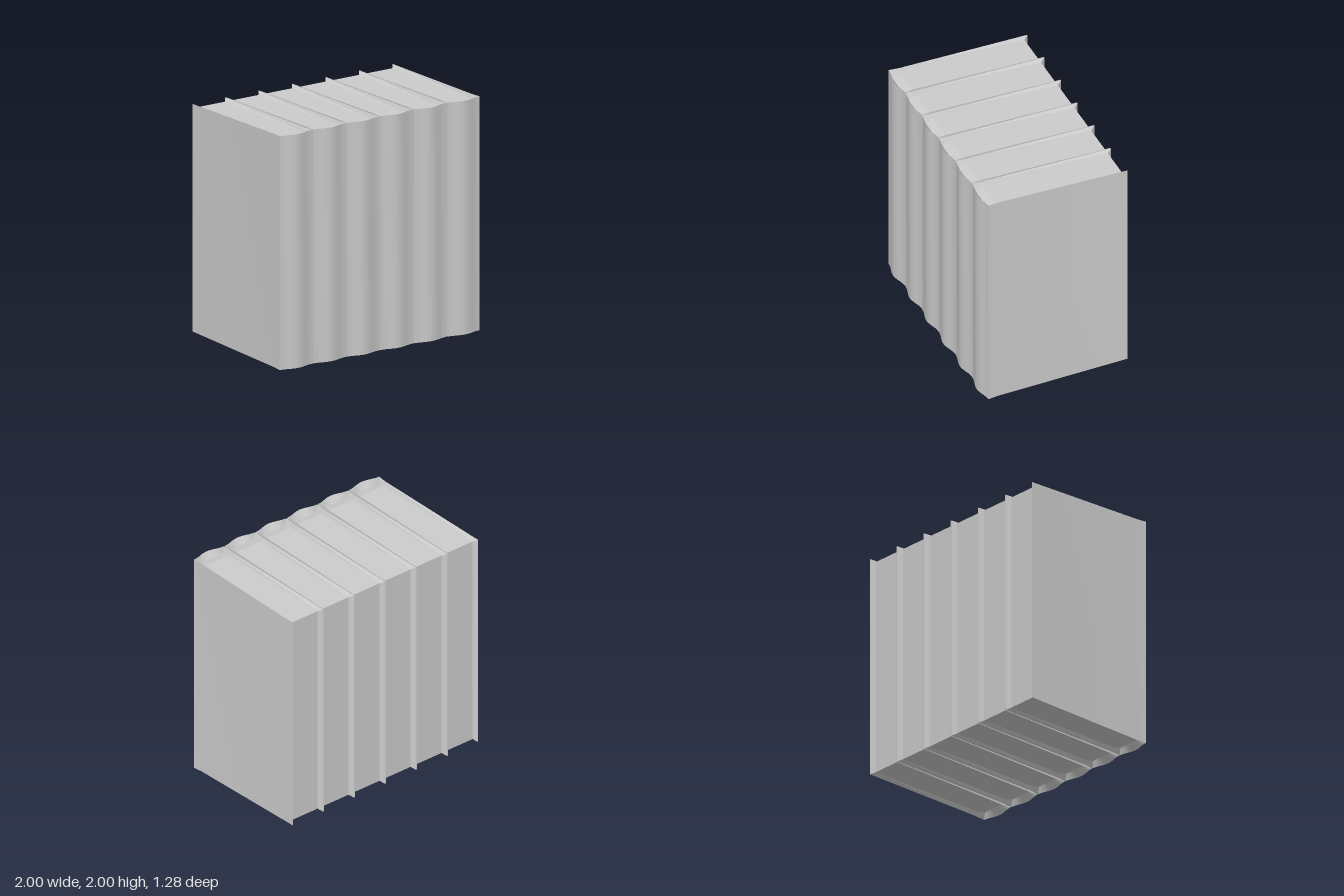
import * as THREE from 'three';
import { toCreasedNormals } from 'three/addons/utils/BufferGeometryUtils.js';

const HALF = 0.1635, INNER = 0.137, BACK = -0.64, EDGE = 0.608, COUNT = 6;
const material = new THREE.MeshStandardMaterial({ color: 0xcccccc });

// Surface between two rails of points
function strip(a, b, crease) {
  const index = [];
  const n = a.length;
  for (let i = 0; i < n - 1; i++) {
    index.push(i, n + i, n + i + 1, i, n + i + 1, i + 1);
  }
  const g = new THREE.BufferGeometry().setFromPoints([...a, ...b]);
  g.setIndex(index);
  return toCreasedNormals(g, crease);
}

const flip = (p) => new THREE.Vector3(p.x, 2 - p.y, p.z);
const topY = (z) => (z >= EDGE ? 2 : 2 - 0.027 * (EDGE - z) / (EDGE - BACK));
const outer = (x, z) => new THREE.Vector3(x, topY(z), z);
const pageY = (z) => (z > 0.53 ? 1.945 : z > 0 ? 1.963 : 1.95);
const inner = (x, z) => new THREE.Vector3(x, pageY(z), z);

function makeBook() {
  const book = new THREE.Group();
  const add = (name, geometry) => {
    const mesh = new THREE.Mesh(geometry, material);
    mesh.name = name;
    book.add(mesh);
  };

  // Plan of the cover: back edge, hinge groove, curved spine, hinge, back edge
  const outside = [outer(-HALF, BACK), outer(-0.155, 0.52)];
  const inside = [inner(-INNER, -0.6), inner(-INNER, 0.52)];
  for (let i = 0; i <= 12; i++) {
    const u = i / 6 - 1;
    outside.push(outer(u * HALF, EDGE + 0.016 * (1 + Math.cos(Math.PI * u))));
    inside.push(inner(u * INNER, 0.595));
  }
  outside.push(outer(0.155, 0.52), outer(HALF, BACK));
  inside.push(inner(INNER, 0.52), inner(INNER, -0.6));

  add('cover', strip(outside, outside.map(flip), 0.5));

  // Bevelled rim running round the top, back and bottom edges of the cover
  const loop = (path) => [...path, ...path.map(flip).reverse(), path[0].clone()];
  add('coverRim', strip(loop(inside), loop(outside), 0.3));

  // Recessed page block: top, back and bottom
  const rail = (x) => {
    const top = [0.595, 0.52, -0.6].map((z) => inner(x, z));
    return [...top, ...top.map(flip).reverse()];
  };
  add('pages', strip(rail(-INNER), rail(INNER), 0.05));
  return book;
}

export function createModel() {
  const model = new THREE.Group();
  model.name = 'bookRow';
  const pitch = (2 - 2 * HALF) / (COUNT - 1);
  for (let i = 0; i < COUNT; i++) {
    const book = makeBook();
    book.name = 'book' + (i + 1);
    book.position.x = (i - (COUNT - 1) / 2) * pitch;
    model.add(book);
  }
  return model;
}
